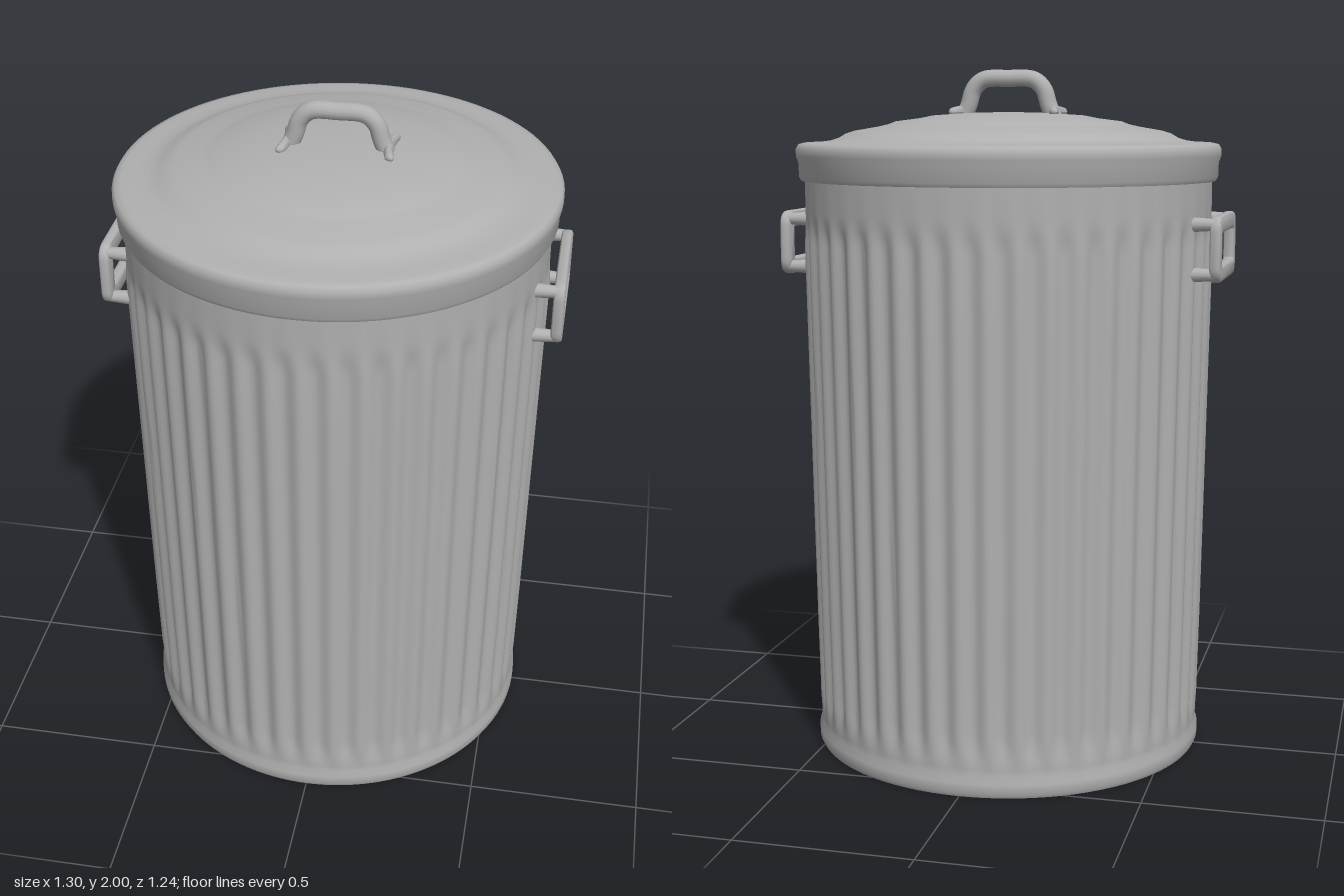
import * as THREE from 'three';
import { mergeVertices, toCreasedNormals } from 'three/addons/utils/BufferGeometryUtils.js';

const metal = new THREE.MeshStandardMaterial({ color: 0xb0b0b0 });
metal.name = 'galvanised grey';

function addMesh(parent, name, geometry) {
  const mesh = new THREE.Mesh(geometry, metal);
  mesh.name = name;
  parent.add(mesh);
  return mesh;
}

// Revolve a list of [radius, height] pairs, listed from bottom to top
function revolve(profile, segments, move) {
  let g = new THREE.LatheGeometry(profile.map(([r, y]) => new THREE.Vector2(r, y)), segments);
  g.deleteAttribute('uv');
  g.deleteAttribute('normal');
  if (move) {
    const p = g.attributes.position, v = new THREE.Vector3();
    for (let i = 0; i < p.count; i++) {
      move(v.fromBufferAttribute(p, i));
      p.setXYZ(i, v.x, v.y, v.z);
    }
  }
  g = mergeVertices(g, 1e-5);
  return toCreasedNormals(g, 0.8);
}

// Vertical flutes, fading out near the base and the neck
const RIBS = 44;
function flute(v) {
  const r = Math.hypot(v.x, v.z);
  if (r < 0.1) return;
  const fade = THREE.MathUtils.smoothstep(v.y, 0.07, 0.17) *
    (1 - THREE.MathUtils.smoothstep(v.y, 1.5, 1.6));
  const k = 1 + fade * 0.008 * (Math.cos(RIBS * Math.atan2(v.x, v.z)) - 0.5) / r;
  v.x *= k;
  v.z *= k;
}

function roundedRect(path, w, h, r) {
  const x = w / 2, y = h / 2;
  path.moveTo(-x + r, -y);
  path.lineTo(x - r, -y);
  path.quadraticCurveTo(x, -y, x, -y + r);
  path.lineTo(x, y - r);
  path.quadraticCurveTo(x, y, x - r, y);
  path.lineTo(-x + r, y);
  path.quadraticCurveTo(-x, y, -x, y - r);
  path.lineTo(-x, -y + r);
  path.quadraticCurveTo(-x, -y, -x + r, -y);
  return path;
}

// Rounded loop standing off the wall on four short feet
function sideHandle(name) {
  const handle = new THREE.Group();
  handle.name = name;
  const shape = roundedRect(new THREE.Shape(), 0.346, 0.166, 0.035);
  shape.holes.push(roundedRect(new THREE.Path(), 0.29, 0.11, 0.015));
  const loop = new THREE.ExtrudeGeometry(shape, {
    depth: 0.012, bevelThickness: 0.01, bevelSize: 0.01, bevelSegments: 3, curveSegments: 6,
  });
  loop.rotateY(Math.PI / 2);
  loop.translate(0.628, 1.5, 0);
  addMesh(handle, 'handleLoop', toCreasedNormals(loop, 0.8));
  for (const z of [-0.16, 0.16]) {
    for (const y of [1.43, 1.57]) {
      const foot = addMesh(handle, 'handleFoot', new THREE.CylinderGeometry(0.016, 0.022, 0.085, 12));
      foot.rotation.z = -Math.PI / 2;
      foot.position.set(0.592, y, z);
    }
  }
  return handle;
}

export function createModel() {
  const model = new THREE.Group();
  model.name = 'dustbin';

  // Fluted body with a flat base and a rolled foot ring
  const body = [[0, 0], [0.574, 0], [0.58, 0.012], [0.58, 0.04], [0.573, 0.06]];
  for (let y = 0.08; y < 0.19; y += 0.025) body.push([0.574, y]);
  for (let i = 1; i <= 6; i++) body.push([0.575 + i * 0.0035, 0.18 + i * 0.22]);
  for (const y of [1.525, 1.55, 1.575, 1.6, 1.72]) body.push([0.595, y]);
  addMesh(model, 'body', revolve(body, RIBS * 8, flute));

  // Lid with a deep rim and a stepped dome
  addMesh(model, 'lid', revolve([
    [0, 1.70], [0.59, 1.70], [0.594, 1.686], [0.606, 1.684], [0.612, 1.695], [0.613, 1.735],
    [0.62, 1.755], [0.62, 1.775], [0.612, 1.788], [0.595, 1.792], [0.56, 1.793],
    [0.52, 1.798], [0.495, 1.806], [0.475, 1.818], [0.45, 1.826], [0.38, 1.838],
    [0.35, 1.845], [0.33, 1.853], [0.26, 1.862], [0.22, 1.870], [0.12, 1.877], [0, 1.88],
  ], 96));

  // Arched grip on the lid
  const lidHandle = new THREE.Group();
  lidHandle.name = 'lidHandle';
  model.add(lidHandle);
  const arch = new THREE.CatmullRomCurve3([
    [-0.137, 1.86], [-0.12, 1.90], [-0.105, 1.945], [-0.075, 1.972], [0, 1.976],
    [0.075, 1.972], [0.105, 1.945], [0.12, 1.90], [0.137, 1.86],
  ].map(([x, y]) => new THREE.Vector3(x, y, 0)));
  addMesh(lidHandle, 'grip', new THREE.TubeGeometry(arch, 48, 0.025, 14));

  // Foot bars, wide at the ends, where the grip meets the lid
  for (const side of [-1, 1]) {
    const bar = new THREE.CapsuleGeometry(0.013, 0.125, 6, 12, 8);
    bar.rotateX(Math.PI / 2);
    const p = bar.attributes.position;
    for (let i = 0; i < p.count; i++) {
      const t = p.getZ(i) / 0.075;
      p.setX(i, p.getX(i) + side * 0.012 * t * t);
      p.setY(i, p.getY(i) * (1.4 - 0.5 * t * t));
    }
    bar.computeVertexNormals();
    addMesh(lidHandle, 'footBar', bar).position.set(side * 0.14, 1.88, -0.003);
  }

  // Carrying handles on both sides
  const left = sideHandle('leftHandle');
  const right = sideHandle('rightHandle');
  right.rotation.y = Math.PI;
  model.add(left, right);

  return model;
}
